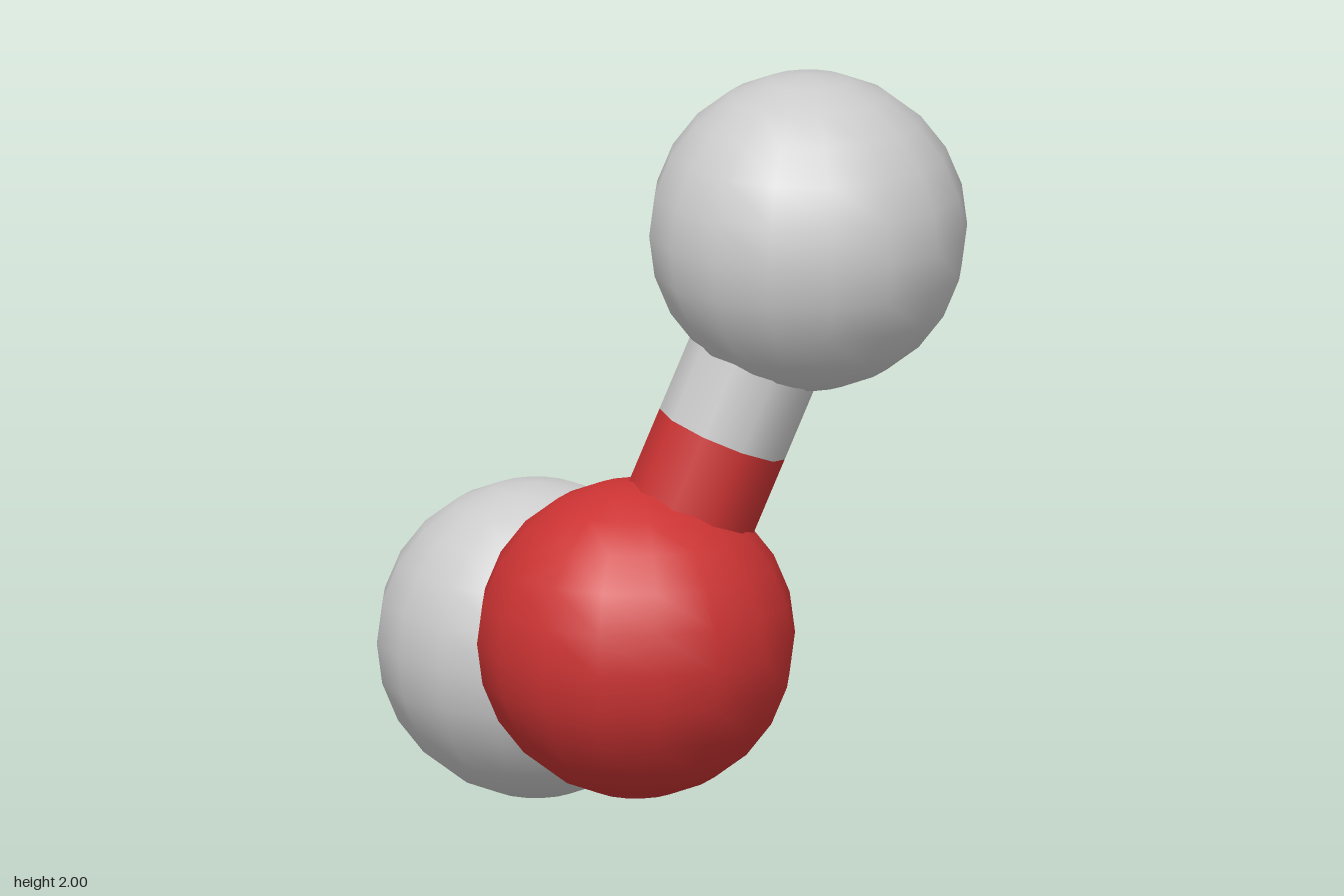
import * as THREE from 'three';

const BALL_RADIUS = 0.38;
const BOND_RADIUS = 0.16;

export function createModel() {
  const group = new THREE.Group();
  group.name = 'molecule';

  const red = new THREE.MeshStandardMaterial({ color: 0xcc3333 });
  red.name = 'red';
  const grey = new THREE.MeshStandardMaterial({ color: 0xcccccc });
  grey.name = 'light grey';

  const ballGeometry = new THREE.SphereGeometry(BALL_RADIUS, 16, 12);

  function addBall(name, position, material) {
    const ball = new THREE.Mesh(ballGeometry, material);
    ball.name = name;
    ball.position.copy(position);
    group.add(ball);
  }

  // Open rod between two points; its ends are hidden in the balls
  function addRod(name, from, to, material) {
    const direction = to.clone().sub(from);
    const geometry = new THREE.CylinderGeometry(BOND_RADIUS, BOND_RADIUS, direction.length(), 10, 1, true);
    const rod = new THREE.Mesh(geometry, material);
    rod.name = name;
    rod.position.copy(from).lerp(to, 0.5);
    rod.quaternion.setFromUnitVectors(new THREE.Vector3(0, 1, 0), direction.normalize());
    group.add(rod);
  }

  const centre = new THREE.Vector3(-0.333, 0.645, 0.25);
  const outer = {
    upper: new THREE.Vector3(-0.03, 1.62, 0.532),
    lower: new THREE.Vector3(0.33, 0.385, -0.53),
  };

  addBall('centralAtom', centre, red);

  // Each outer atom has a bond coloured half and half
  for (const [side, position] of Object.entries(outer)) {
    const middle = centre.clone().lerp(position, 0.5);
    addBall(side + 'OuterAtom', position, grey);
    addRod(side + 'BondInnerHalf', centre, middle, red);
    addRod(side + 'BondOuterHalf', middle, position, grey);
  }

  return group;
}
